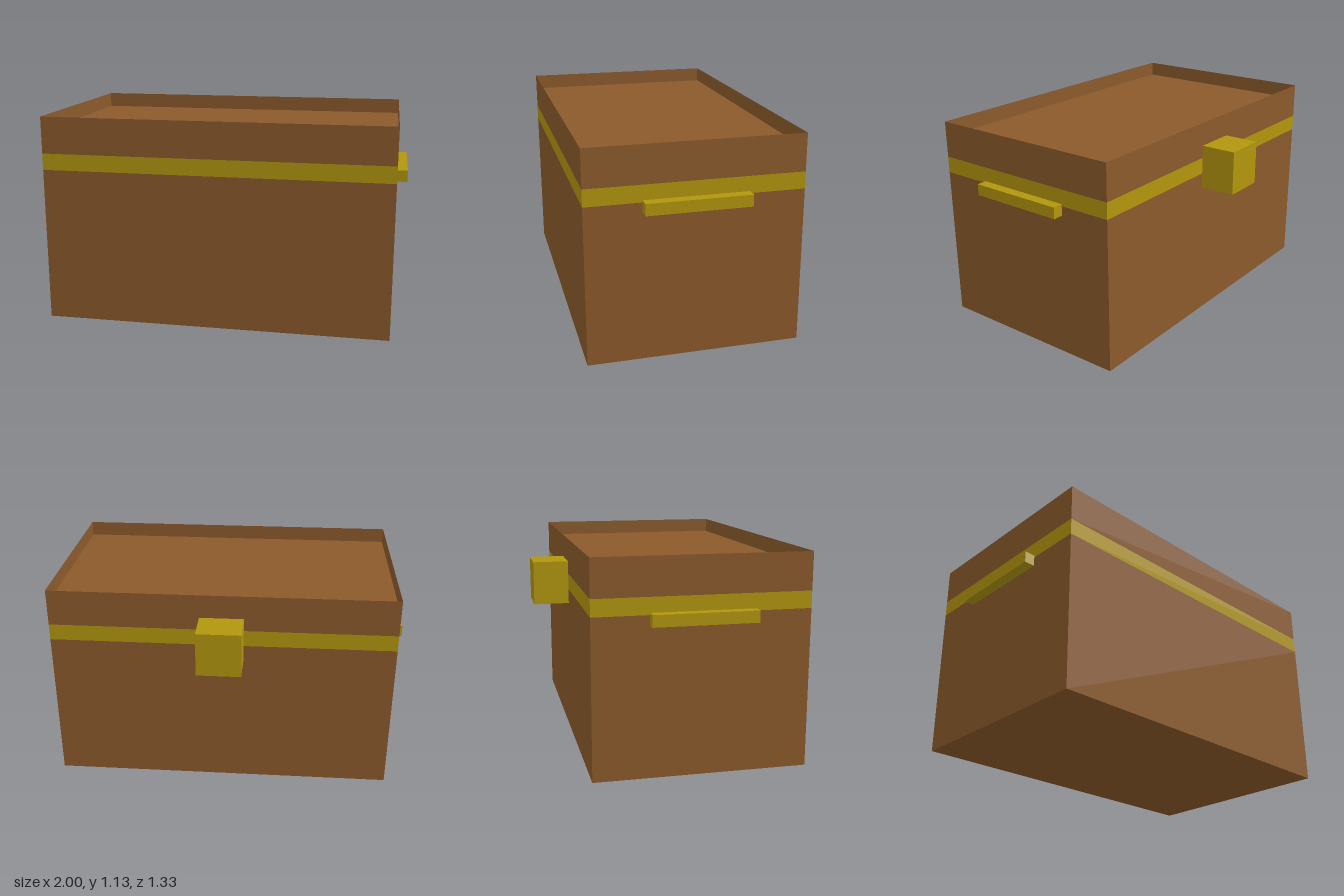
import * as THREE from 'three';

const W = 1.886, D = 1.133, H = 1.135; // chest width, depth, height
const CZ = 0.0985; // chest centre along z

export function createModel() {
  const model = new THREE.Group();
  model.name = 'chest';
  const wood = new THREE.MeshStandardMaterial({ color: 0x8b5a2b, side: THREE.DoubleSide });
  wood.name = 'brown wood';
  const brass = new THREE.MeshStandardMaterial({ color: 0xb2960d, side: THREE.DoubleSide });
  brass.name = 'brass';

  // Four thin walls around the chest between two heights
  function wallRing(name, y0, y1, material) {
    const ring = new THREE.Group();
    ring.name = name;
    for (let i = 0; i < 4; i++) {
      const [width, offset] = i % 2 ? [D, W / 2] : [W, D / 2];
      const geometry = new THREE.PlaneGeometry(width, y1 - y0);
      geometry.translate(0, (y0 + y1) / 2, offset);
      const wall = new THREE.Mesh(geometry, material);
      wall.name = name + 'Side';
      wall.rotation.y = (i * Math.PI) / 2;
      ring.add(wall);
    }
    ring.position.z = CZ;
    model.add(ring);
  }

  // Horizontal panel spanning the chest, facing up (1) or down (-1)
  function panel(name, y, facing) {
    const mesh = new THREE.Mesh(new THREE.PlaneGeometry(W, D), wood);
    mesh.name = name;
    mesh.rotation.x = (-facing * Math.PI) / 2;
    mesh.position.set(0, y, CZ);
    model.add(mesh);
  }

  function block(name, size, position) {
    const mesh = new THREE.Mesh(new THREE.BoxGeometry(...size), brass);
    mesh.name = name;
    mesh.position.set(...position);
    model.add(mesh);
  }

  // Body, metal band and raised rim around the sunken top
  wallRing('body', 0, 0.845, wood);
  wallRing('band', 0.845, 0.935, brass);
  wallRing('rim', 0.935, H, wood);
  panel('bottom', 0, -1);
  panel('sunkenTop', 1.05, 1);

  // Latch on the back and a handle on each side
  block('latch', [0.24, 0.242, 0.197], [0, 0.884, -0.5665]);
  for (const side of [-1, 1]) {
    block(side > 0 ? 'leftHandle' : 'rightHandle', [0.057, 0.062, 0.547], [side * 0.9715, 0.825, 0.0985]);
  }
  return model;
}
